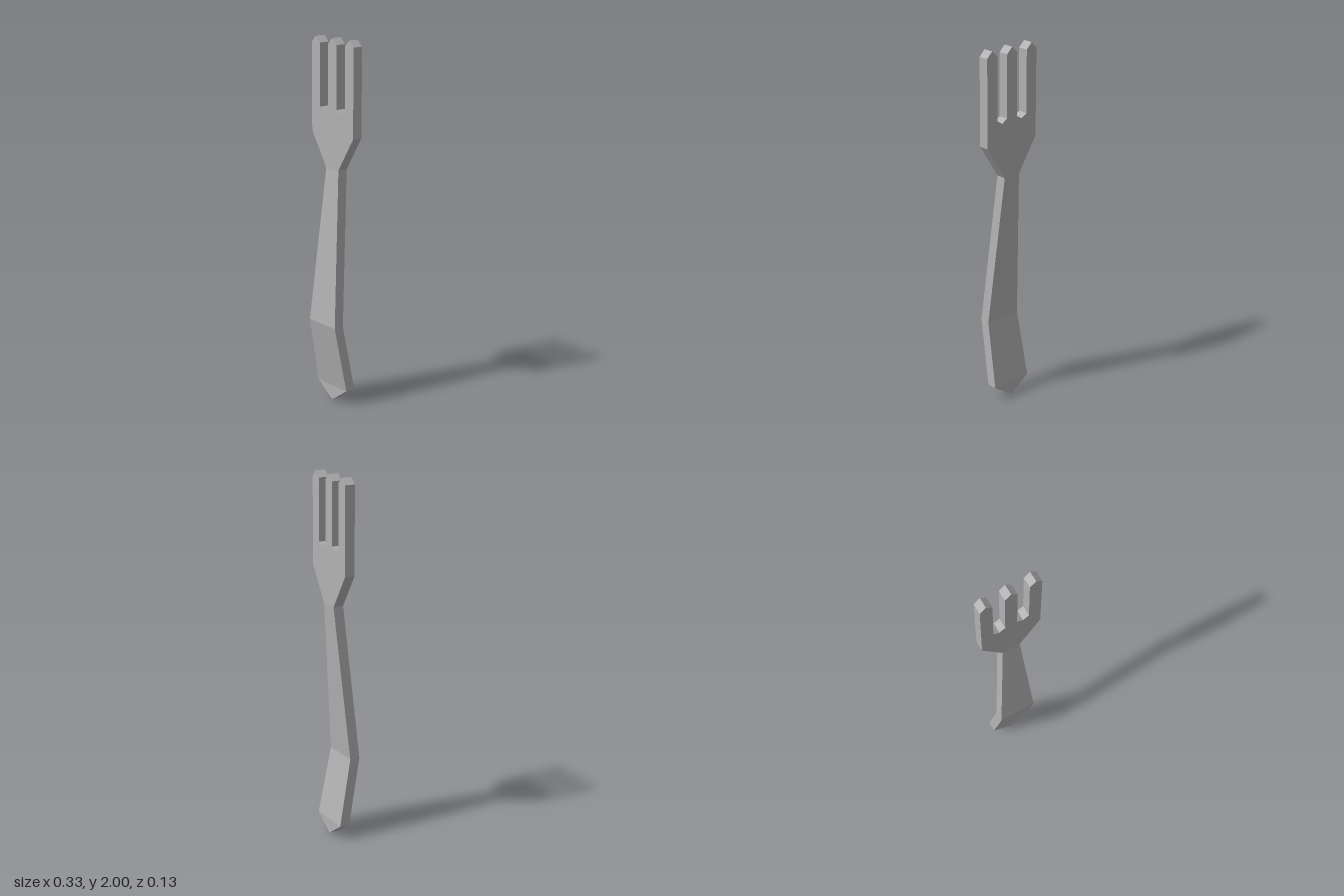
import * as THREE from 'three';

const BACK = -0.064, THICK = 0.057;

// Flat forked head: neck, shoulders and three pointed tines
function headGeometry() {
  const shape = new THREE.Shape();
  shape.moveTo(-0.05, 1.31);
  shape.lineTo(0.05, 1.31);
  shape.lineTo(0.167, 1.495);
  const half = 0.0335;
  [0.1335, 0, -0.1335].forEach((x, i) => {
    shape.lineTo(x + half, 1.967);
    shape.lineTo(x, 2);
    shape.lineTo(x - half, 1.967);
    if (i < 2) {
      // Pointed slot between neighbouring tines
      shape.lineTo(x - half, 1.63);
      shape.lineTo(x - 0.0667, 1.61);
      shape.lineTo(x - 0.1335 + half, 1.63);
    }
  });
  shape.lineTo(-0.167, 1.495);
  shape.closePath();
  const geo = new THREE.ExtrudeGeometry(shape, { depth: THICK, bevelEnabled: false });
  return geo.translate(0, 0, BACK);
}

// Bent, tapering handle lofted through rectangular sections
function handleGeometry() {
  // [height, half width, back z]
  const sections = [
    [0, 0, BACK],
    [0.085, 0.12, BACK],
    [0.46, 0.106, 0.007],
    [1.31, 0.05, BACK],
  ];
  const rings = sections.map(([y, w, z]) => [
    [-w, y, z + THICK], [w, y, z + THICK], [w, y, z], [-w, y, z],
  ]);
  const positions = [];
  for (let s = 0; s < rings.length - 1; s++) {
    for (let i = 0; i < 4; i++) {
      const j = (i + 1) % 4;
      const a = rings[s][i], b = rings[s][j], c = rings[s + 1][j], d = rings[s + 1][i];
      // The pointed end needs no lower triangle on its front and back
      if (s > 0 || i % 2 === 1) positions.push(...a, ...b, ...c);
      positions.push(...a, ...c, ...d);
    }
  }
  const geo = new THREE.BufferGeometry();
  geo.setAttribute('position', new THREE.Float32BufferAttribute(positions, 3));
  geo.computeVertexNormals();
  return geo;
}

export function createModel() {
  const metal = new THREE.MeshStandardMaterial({ color: 0xb2b2b2 });
  metal.name = 'grey metal';

  const fork = new THREE.Group();
  fork.name = 'fork';
  const add = (name, geometry) => {
    const mesh = new THREE.Mesh(geometry, metal);
    mesh.name = name;
    fork.add(mesh);
  };
  add('head', headGeometry());
  add('handle', handleGeometry());
  return fork;
}
